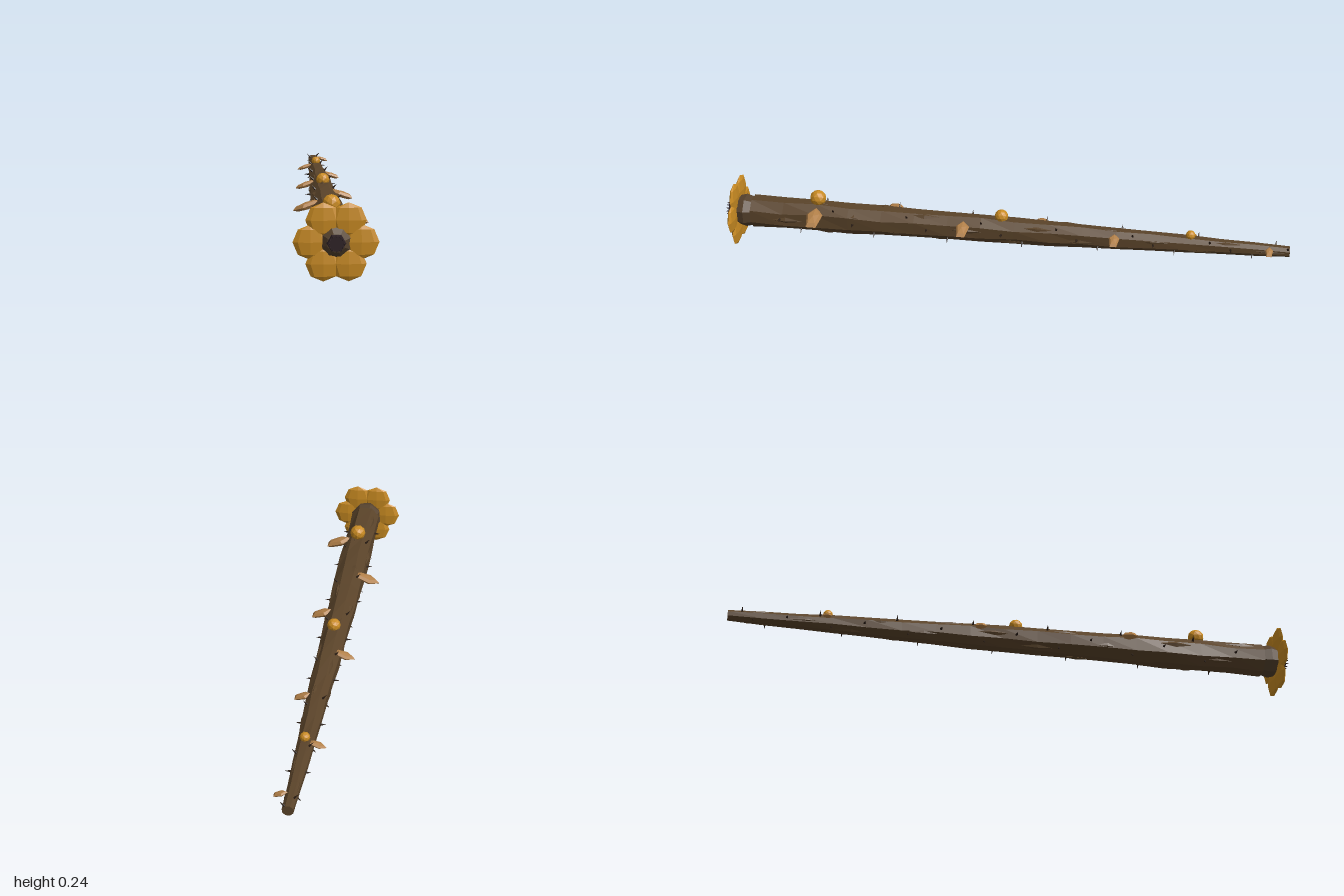
import * as THREE from 'three';

const paint = (name, color) => new THREE.MeshStandardMaterial({ name, color, flatShading: true });

export function createModel() {
  const root = new THREE.Group();
  root.name = 'floweringBranch';
  const bark = paint('bark brown', 0x5b442a);
  const knobBrown = paint('knob brown', 0x57432e);
  const thornDark = paint('thorn dark', 0x2a1d14);
  const gold = paint('petal gold', 0xc98b22);
  const tan = paint('bud tan', 0xb28049);
  const mouthDark = paint('mouth dark', 0x2c2024);
  const axisY = 0.12;

  let seed = 7;
  const rand = () => (seed = (seed * 16807) % 2147483647) / 2147483647;

  const add = (name, geo, mat, x, y, z) => {
    const m = new THREE.Mesh(geo, mat);
    m.name = name;
    m.position.set(x, y, z);
    root.add(m);
    return m;
  };

  // Stem profile: [z, radius]
  const profile = [[-1, 0.018], [-0.6, 0.031], [-0.2, 0.042], [0.2, 0.049], [0.55, 0.055], [0.9, 0.055]];
  const radiusAt = (z) => {
    for (let i = 1; i < profile.length; i++) {
      const [z0, r0] = profile[i - 1], [z1, r1] = profile[i];
      if (z <= z1) return r0 + (r1 - r0) * (z - z0) / (z1 - z0);
    }
    return 0.055;
  };
  const axisAt = (z) => axisY + 0.003 * (1 - z) / 2;

  // Gnarled stem: eight-sided tube with slightly uneven rings
  const sides = 8, rings = 16;
  const points = [], index = [];
  for (let i = 0; i <= rings; i++) {
    const z = -1 + 1.9 * i / rings;
    for (let k = 0; k < sides; k++) {
      const a = (k + 0.5) / sides * Math.PI * 2 + (rand() - 0.5) * 0.15;
      const r = radiusAt(z) * (0.96 + rand() * 0.12);
      points.push(Math.cos(a) * r, Math.sin(a) * r + axisAt(z), z);
      if (i < rings) {
        const p = i * sides + k, q = i * sides + (k + 1) % sides;
        index.push(p, q, q + sides, p, q + sides, p + sides);
      }
    }
  }
  points.push(0, axisAt(-1), -1, 0, axisY, 0.9);
  const tail = (rings + 1) * sides;
  for (let k = 0; k < sides; k++) {
    const n = (k + 1) % sides, b = rings * sides;
    index.push(tail, n, k, tail + 1, b + k, b + n);
  }
  const stem = new THREE.BufferGeometry();
  stem.setAttribute('position', new THREE.Float32BufferAttribute(points, 3));
  stem.setIndex(index);
  stem.computeVertexNormals();
  add('stem', stem, bark, 0, 0, 0);

  // Raised bark ridges along the stem
  const ridgeGeo = new THREE.OctahedronGeometry(1);
  for (let i = 0; i < 36; i++) {
    const z = -0.93 + i * 0.05, a = i * 2.4, r = radiusAt(z);
    const ridge = add('barkRidge', ridgeGeo, bark, Math.cos(a) * r * 0.93, axisAt(z) + Math.sin(a) * r * 0.93, z);
    ridge.rotation.z = a;
    ridge.scale.set(r * 0.13, r * 0.22, 0.06);
  }

  // Thorns, in rings with alternating directions
  const thornGeo = new THREE.ConeGeometry(0.005, 0.024, 5);
  for (let i = 0; i < 14; i++) {
    const z = 0.79 - i * 0.1325;
    const angles = i % 2 ? [0.8, 2.3, 3.9, 5.5] : [0, Math.PI];
    angles.forEach((a, k) => {
      const r = radiusAt(z) + 0.006, tz = z + (i % 2 ? (k - 1.5) * 0.04 : 0);
      const thorn = add('thorn', thornGeo, thornDark, Math.cos(a) * r, axisAt(z) + Math.sin(a) * r, tz);
      thorn.rotation.z = a - Math.PI / 2;
    });
  }

  // Drooping side buds, alternating left and right
  const budGeo = new THREE.SphereGeometry(1, 5, 4);
  for (let i = 0; i < 7; i++) {
    const z = 0.66 - i * 0.265, s = 1 - i * 0.087, side = i % 2 ? -1 : 1;
    const bud = add('sideBud', budGeo, tan, side * 0.073 * s, axisY + 0.025 * s, z);
    bud.scale.set(0.055 * s, 0.014 * s, 0.03 * s);
    bud.rotation.z = -side * 0.33;
  }

  // Round golden berries on top
  [[0.66, 0.19, 0.029], [0, 0.174, 0.024], [-0.66, 0.157, 0.017]].forEach(([z, y, r]) =>
    add('berry', new THREE.IcosahedronGeometry(r, 1), gold, 0, y, z));

  // Six flattened petals
  const petalGeo = new THREE.SphereGeometry(0.053, 8, 4);
  for (let i = 0; i < 6; i++) {
    const a = i * Math.PI / 3;
    add('petal', petalGeo, gold, Math.cos(a) * 0.075, axisY + Math.sin(a) * 0.075, 0.957).scale.z = 0.2;
  }

  // Knob behind and through the flower
  const knobGeo = new THREE.SphereGeometry(0.059, 8, 6);
  knobGeo.rotateX(Math.PI / 2);
  const knob = add('flowerKnob', knobGeo, knobBrown, 0, axisY, 0.927);
  knob.rotation.z = 0.3;

  // Dark mouth with a ring of small teeth
  const mouthGeo = new THREE.CylinderGeometry(0.026, 0.032, 0.022, 6);
  mouthGeo.rotateX(Math.PI / 2);
  add('mouth', mouthGeo, mouthDark, 0, axisY, 0.978).rotation.z = Math.PI / 6;
  const toothGeo = new THREE.ConeGeometry(0.004, 0.014, 4);
  toothGeo.rotateX(Math.PI / 2);
  for (let i = 0; i < 12; i++) {
    const a = i * Math.PI / 6;
    add('tooth', toothGeo, mouthDark, Math.cos(a) * 0.022, axisY + Math.sin(a) * 0.022, 0.993);
  }
  return root;
}
